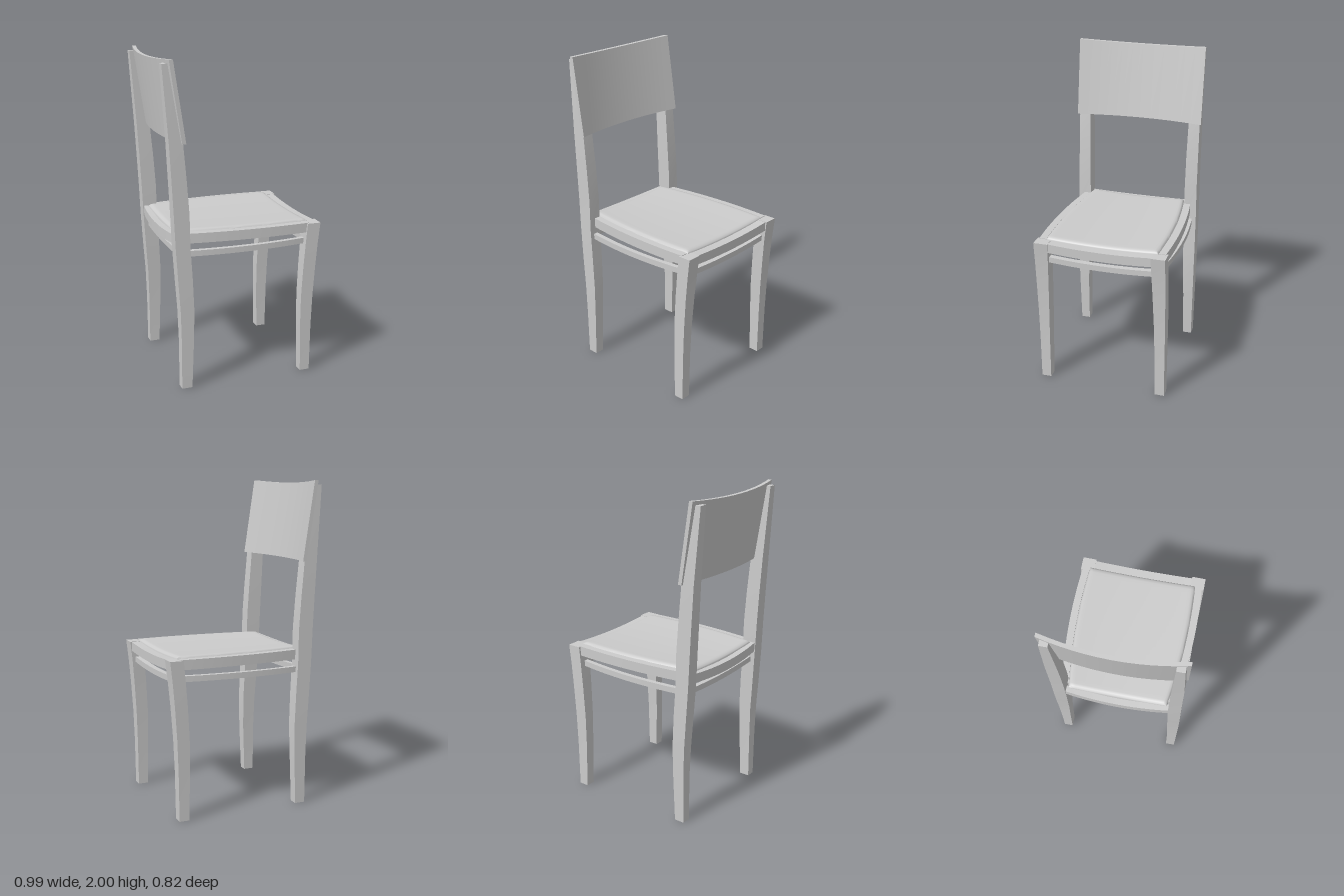
import * as THREE from 'three';
import { toCreasedNormals } from 'three/addons/utils/BufferGeometryUtils.js';

export function createModel() {
  const chair = new THREE.Group();
  chair.name = 'diningChair';
  const wood = new THREE.MeshStandardMaterial({ color: 0xcccccc });
  const mix = THREE.MathUtils.lerp;

  // A unit box (each coordinate -0.5..0.5) reshaped by a rule
  function shaped(name, segments, rule, crease = 0.5) {
    const box = new THREE.BoxGeometry(1, 1, 1, ...segments);
    const p = box.attributes.position;
    for (let i = 0; i < p.count; i++) {
      p.setXYZ(i, ...rule(p.getX(i), p.getY(i), p.getZ(i)));
    }
    const mesh = new THREE.Mesh(toCreasedNormals(box, crease), wood);
    mesh.name = name;
    chair.add(mesh);
  }

  // Leg with a section per row: [y, back x, front x, inner z, outer z]
  function leg(name, rows, side) {
    const n = rows.length - 1;
    shaped(name, [1, n, 1], (u, v, w) => {
      const [y, x0, x1, inner, outer] = rows[Math.round((v + 0.5) * n)];
      return [mix(x0, x1, u + 0.5), y, side * mix(inner, outer, side * w + 0.5)];
    });
  }

  const rearLeg = [
    [0, -0.4, -0.335, 0.345, 0.402],
    [0.3, -0.4, -0.324, 0.342, 0.406],
    [0.5, -0.405, -0.32, 0.335, 0.408],
    [0.7, -0.418, -0.328, 0.33, 0.408],
    [0.9, -0.43, -0.34, 0.325, 0.406],
    [1.1, -0.438, -0.343, 0.325, 0.404],
    [1.3, -0.448, -0.357, 0.326, 0.403],
    [1.52, -0.46, -0.376, 0.33, 0.402],
    [1.975, -0.492, -0.448, 0.338, 0.388],
  ];
  const frontLeg = [
    [0, 0.382, 0.444, 0.345, 0.406],
    [0.3, 0.376, 0.448, 0.342, 0.406],
    [0.5, 0.377, 0.455, 0.337, 0.407],
    [0.7, 0.388, 0.468, 0.33, 0.408],
    [0.85, 0.4, 0.481, 0.324, 0.408],
    [0.972, 0.411, 0.495, 0.32, 0.408],
  ];

  // Curved seat rails and the thinner stretchers below them
  const railOuter = x => 0.405 - 0.15 * (x - 0.17) ** 2;
  const stretcherOuter = x => 0.403 - 0.2 * x * x;
  function sideBar(name, side, outer, width, y0, y1) {
    shaped(name, [14, 1, 1], (u, v, w) => {
      const x = mix(-0.37, 0.425, u + 0.5);
      return [x, mix(y0, y1, v + 0.5), side * (outer(x) - width / 2) + w * width];
    });
  }
  for (const [label, side] of [['left', -1], ['right', 1]]) {
    leg(label + 'RearLeg', rearLeg, side);
    leg(label + 'FrontLeg', frontLeg, side);
    sideBar(label + 'SeatRail', side, railOuter, 0.045, 0.915, 0.975);
    sideBar(label + 'Stretcher', side, stretcherOuter, 0.03, 0.838, 0.873);
  }

  // Cross bars sagging toward the middle, optionally bowed backward
  function crossBar(name, x0, x1, y0, y1, bow = 0) {
    shaped(name, [1, 1, 12], (u, v, w) => {
      const arch = 1 - 4 * w * w;
      return [mix(x0, x1, u + 0.5) - bow * arch, mix(y0, y1, v + 0.5) - 0.014 * arch, w * 0.67];
    });
  }
  crossBar('frontSeatRail', 0.43, 0.485, 0.914, 0.971);
  crossBar('rearSeatRail', -0.425, -0.385, 0.914, 0.971, 0.02);
  crossBar('frontStretcher', 0.425, 0.46, 0.838, 0.873);
  crossBar('rearStretcher', -0.4, -0.37, 0.838, 0.873);

  // Dished seat panel with a soft rim, denser near its edges
  const dense = t => Math.sin(t * Math.PI) / 2;
  shaped('seat', [24, 1, 24], (u, v, w) => {
    const x = mix(-0.4, 0.43, dense(u) + 0.5);
    const half = railOuter(x) - 0.046;
    const z = 2 * half * dense(w);
    const edge = Math.min(x + 0.4, 0.43 - x, half - Math.abs(z));
    const rim = 0.014 * Math.max(0, 1 - edge / 0.02) ** 2;
    const dish = 0.013 * (1 - (z / half) ** 2);
    return [x, (v > 0 ? 0.989 - rim : 0.94) - dish, z];
  }, 0.9);

  // Tilted backrest bowed backward, its top edge dipping slightly
  shaped('backrest', [1, 1, 12], (u, v, w) => {
    const arch = 1 - 4 * w * w;
    const x = mix(-0.372, -0.444, v + 0.5) + u * 0.024 - 0.043 * arch;
    return [x, v > 0 ? 2 - 0.015 * arch : 1.52, w * 0.825];
  });

  return chair;
}
